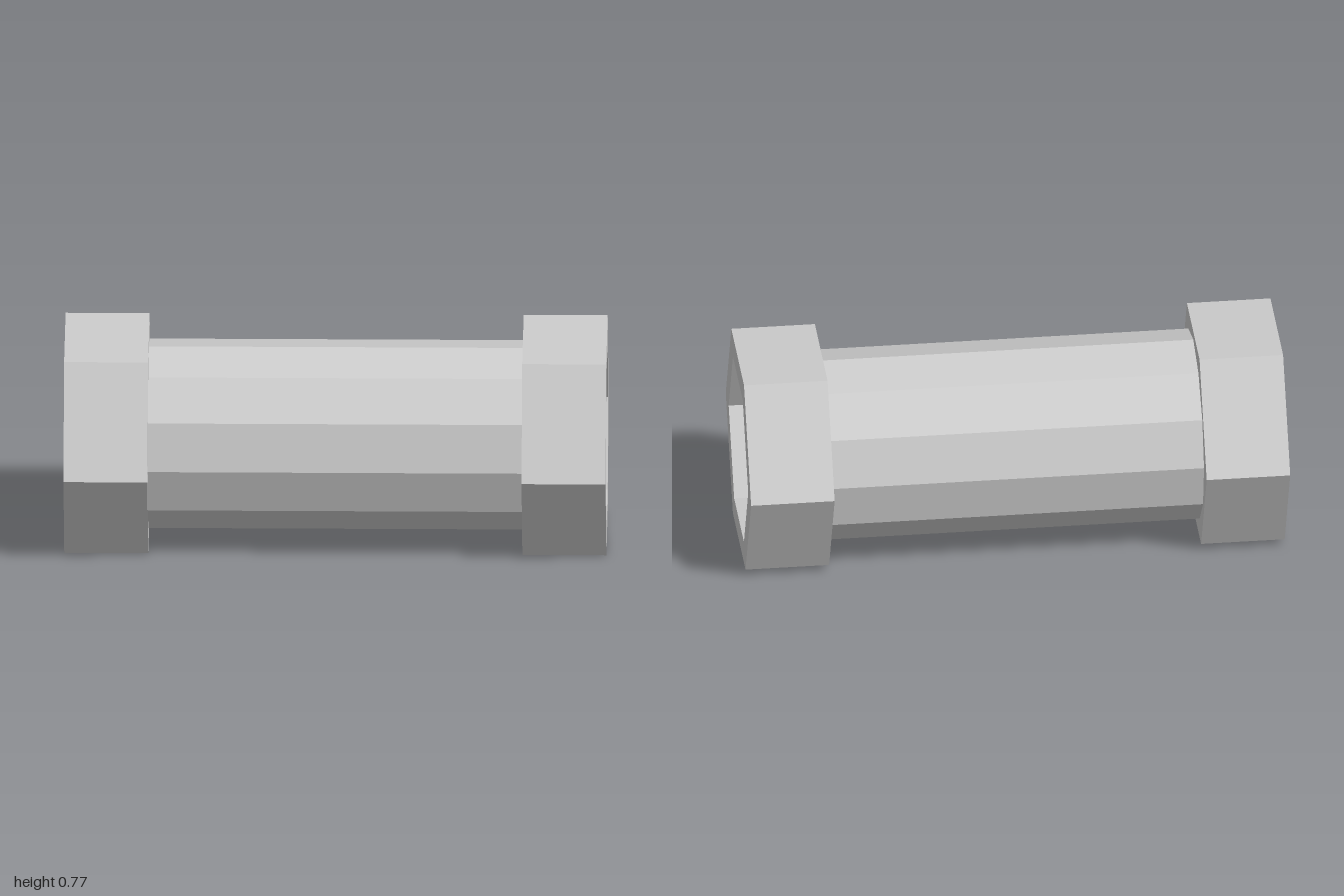
import * as THREE from 'three';

const TILT = THREE.MathUtils.degToRad(4); // roll of the whole part about its axis

// Regular polygon outline, rolled by TILT
function polygon(sides, radius) {
  return Array.from({ length: sides }, (_, i) => {
    const a = TILT + (i / sides) * Math.PI * 2;
    return new THREE.Vector2(Math.cos(a) * radius, Math.sin(a) * radius);
  });
}

// Hollow prism along z from z0 to z1
function hollowPrism(name, sides, outer, inner, z0, z1, material) {
  const shape = new THREE.Shape(polygon(sides, outer));
  shape.holes.push(new THREE.Path(polygon(sides, inner)));
  const geometry = new THREE.ExtrudeGeometry(shape, { depth: z1 - z0, bevelEnabled: false });
  geometry.translate(0, 0, z0);
  const mesh = new THREE.Mesh(geometry, material);
  mesh.name = name;
  return mesh;
}

export function createModel() {
  const material = new THREE.MeshStandardMaterial({ color: 0xcccccc, flatShading: true });
  const end = 0.968, nutDepth = 0.3;

  const pipe = new THREE.Group();
  pipe.name = 'pipe';
  pipe.add(
    // Twelve-sided tube, set deeper inside the front nut than the back one
    hollowPrism('tube', 12, 0.34, 0.27, -end + 0.07, end - 0.175, material),
    // Hexagonal end nuts with hexagonal openings
    hollowPrism('frontNut', 6, 0.431, 0.332, end - nutDepth, end, material),
    hollowPrism('backNut', 6, 0.431, 0.332, -end, -end + nutDepth, material),
  );

  // Lay the pipe diagonally, resting on the ground
  pipe.rotation.y = THREE.MathUtils.degToRad(46.8);
  pipe.position.y = 0.388;

  const model = new THREE.Group();
  model.name = 'hexEndedPipe';
  model.add(pipe);
  return model;
}
